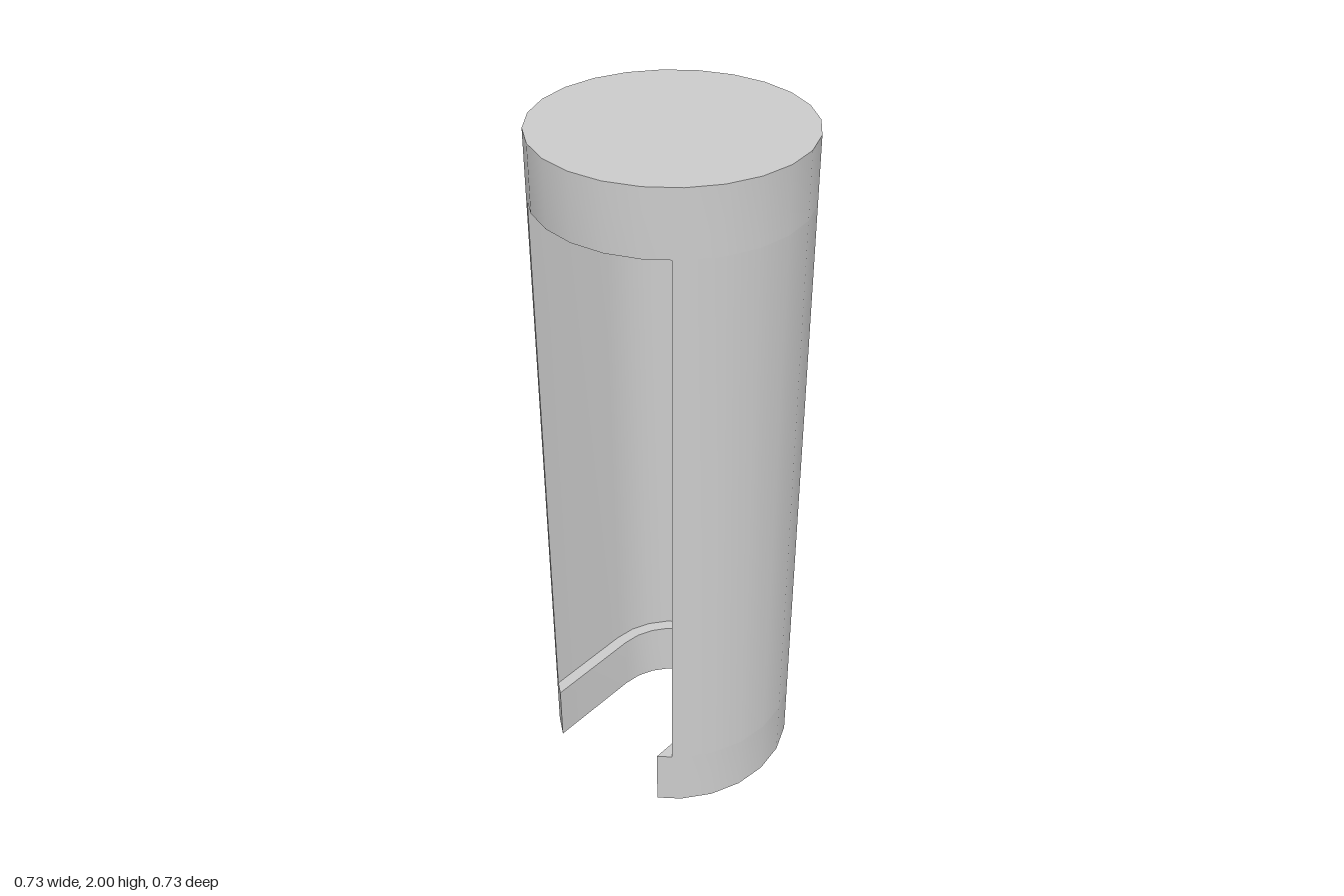
import * as THREE from 'three';
import { toCreasedNormals } from 'three/addons/utils/BufferGeometryUtils.js';

const R = 0.363, STEP = Math.PI / 12; // 24-sided cylinder
const LIP = 0.18, HEIGHT = 2;
const rim = (k) => new THREE.Vector2(R * Math.cos(k * STEP), R * Math.sin(k * STEP));

// Cylinder section with a round-ended slot of half width w, open toward -x
function slottedSection(w) {
  const a = rim(9), b = rim(10);
  const edge = a.clone().lerp(b, (a.y - w) / (a.y - b.y));
  const points = [new THREE.Vector2(edge.x, -edge.y)];
  for (let k = -9; k <= 9; k++) points.push(rim(k));
  points.push(edge);
  for (let k = 6; k >= -6; k--) {
    points.push(new THREE.Vector2(w * Math.cos(k * STEP), w * Math.sin(k * STEP)));
  }
  return new THREE.Shape(points);
}

function solidSection() {
  return new THREE.Shape(Array.from({ length: 24 }, (_, k) => rim(k)));
}

export function createModel() {
  const group = new THREE.Group();
  group.name = 'slottedCylinder';
  const material = new THREE.MeshStandardMaterial({ color: 0xcccccc });

  // Upright layer from y0 to y1
  const addLayer = (name, shape, y0, y1) => {
    const geometry = new THREE.ExtrudeGeometry(shape, { depth: y1 - y0, bevelEnabled: false });
    geometry.rotateX(-Math.PI / 2).translate(0, y0, 0);
    const mesh = new THREE.Mesh(toCreasedNormals(geometry, 0.4), material);
    mesh.name = name;
    group.add(mesh);
  };

  // Narrow slot at the base, wider cavity above it, closed cap on top
  addLayer('baseLip', slottedSection(0.2), 0, LIP);
  addLayer('cavityWall', slottedSection(0.235), LIP, HEIGHT - LIP);
  addLayer('topCap', solidSection(), HEIGHT - LIP, HEIGHT);
  return group;
}
